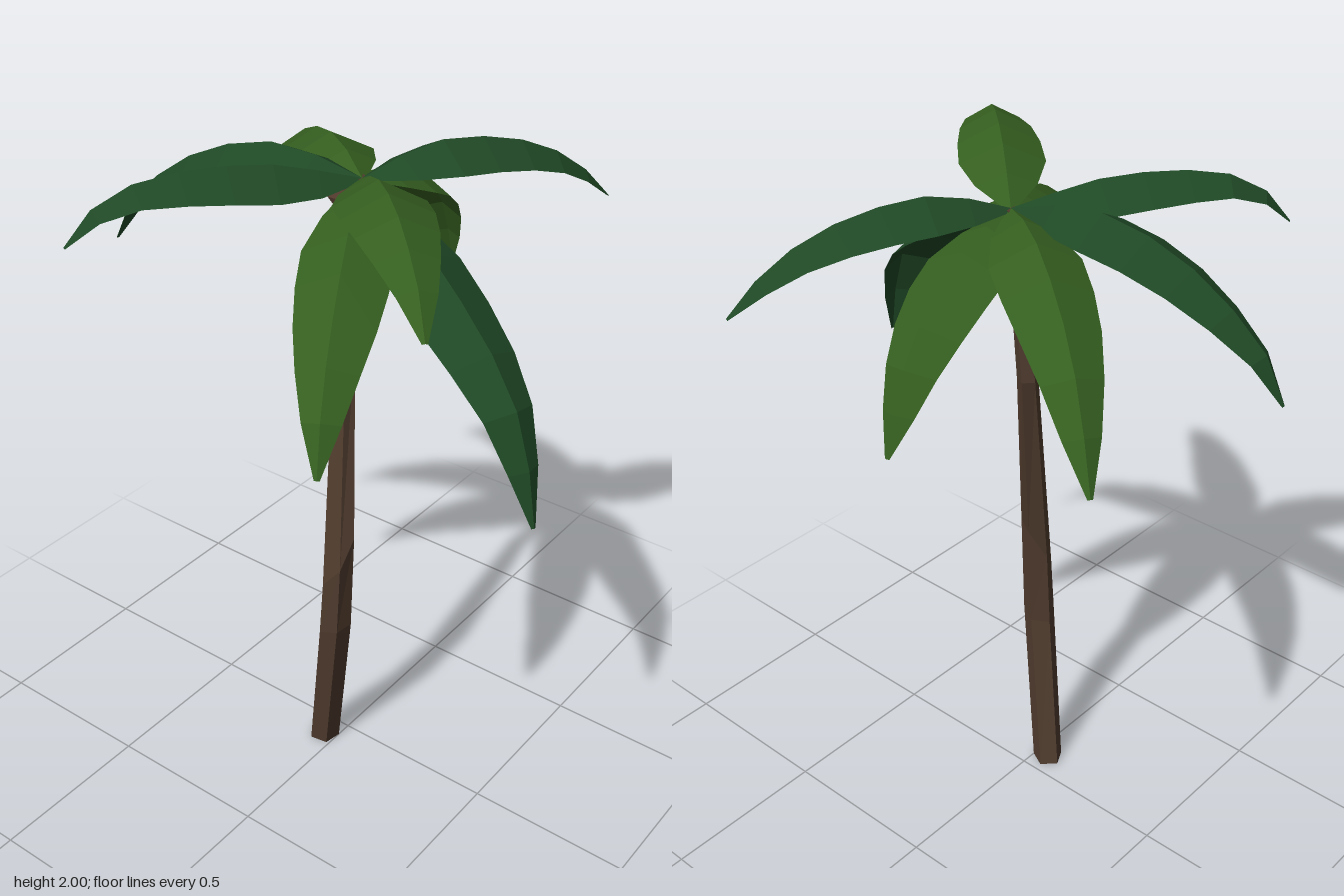
import * as THREE from 'three';

const mat = (name, color, side = THREE.FrontSide) => {
  const m = new THREE.MeshStandardMaterial({ color, flatShading: true, side });
  m.name = name;
  return m;
};

// Bent five-sided trunk: rings of [x, y, z, radius, slope along x, slope along z]
function trunkGeometry() {
  const rings = [
    [-0.07, 0, -0.042, 0.047, 0, 0],
    [-0.125, 0.52, 0.045, 0.049, 0, 0.3],
    [-0.128, 0.78, 0.06, 0.048, 1.4, 1.0],
    [-0.002, 1.42, -0.012, 0.031, 0, 0],
    [0.002, 1.9, 0.035, 0.022, 0, 0],
  ];
  const geo = new THREE.CylinderGeometry(1, 1, 1, 5, rings.length - 1, false, -Math.PI / 4);
  const p = geo.attributes.position;
  for (let i = 0; i < p.count; i++) {
    const [x, y, z, r, sx, sz] = rings[Math.round((p.getY(i) + 0.5) * (rings.length - 1))];
    const dx = p.getX(i) * r, dz = p.getZ(i) * r;
    p.setXYZ(i, x + dx, y + dx * sx + dz * sz, z + dz);
  }
  geo.computeVertexNormals();
  return geo;
}

// Frond: a folded blade, its ridge arching from the crown to the tip.
// profile holds [fraction of reach, height] for the ridge.
const CROWN = new THREE.Vector3(0, 1.9, 0.045);
// Half-width at equal steps along the ridge
const WIDTHS = [0.012, 0.083, 0.118, 0.114, 0.1, 0.077, 0.048, 0.007];
function frondGeometry(tipX, tipZ, profile) {
  const points = profile.map(([f, y]) => new THREE.Vector3(
    CROWN.x + (tipX - CROWN.x) * f, y, CROWN.z + (tipZ - CROWN.z) * f));
  const ridge = new THREE.CatmullRomCurve3([CROWN, ...points]).getSpacedPoints(WIDTHS.length - 1);
  const side = new THREE.Vector3(-(tipZ - CROWN.z), 0, tipX - CROWN.x).normalize();
  const pos = [], index = [];
  ridge.forEach((c, i) => {
    const a = ridge[Math.max(i - 1, 0)], b = ridge[Math.min(i + 1, ridge.length - 1)];
    const tangent = b.clone().sub(a).normalize();
    const normal = side.clone().cross(tangent).normalize();
    for (const s of [-1, 0, 1]) {
      const v = c.clone().addScaledVector(side, s * WIDTHS[i])
        .addScaledVector(normal, -0.5 * Math.abs(s) * WIDTHS[i]);
      pos.push(v.x, v.y, v.z);
    }
    if (i === 0) return;
    for (const k of [0, 1]) {
      const q = (i - 1) * 3 + k;
      index.push(q, q + 1, q + 3, q + 1, q + 4, q + 3);
    }
  });
  const geo = new THREE.BufferGeometry();
  geo.setAttribute('position', new THREE.Float32BufferAttribute(pos, 3));
  geo.setIndex(index);
  geo.computeVertexNormals();
  return geo;
}

export function createModel() {
  const model = new THREE.Group();
  model.name = 'palmTree';
  const bark = mat('bark brown', 0x4f3b2d);
  const nut = mat('coconut brown', 0x553c30);
  const dark = mat('dark leaf green', 0x1f4825, THREE.DoubleSide);
  const light = mat('light leaf green', 0x355f20, THREE.DoubleSide);
  const add = (name, geo, material, parent = model) => {
    const mesh = new THREE.Mesh(geo, material);
    mesh.name = name;
    parent.add(mesh);
    return mesh;
  };

  add('trunk', trunkGeometry(), bark);

  // Crown of fronds: tip x, tip z, colour, ridge profile
  const fronds = new THREE.Group();
  fronds.name = 'fronds';
  model.add(fronds);
  [
    [-0.12, -0.745, dark, [[0.3, 1.95], [0.65, 1.865], [0.94, 1.67], [1, 1.56]]],
    [0.47, -0.61, light, [[0.25, 1.93], [0.53, 1.885], [0.78, 1.78], [0.96, 1.59], [1, 1.52]]],
    [0.565, -0.04, light, [[0.3, 1.88], [0.6, 1.8], [0.83, 1.67], [0.97, 1.5], [1, 1.44]]],
    [0.67, 0.4, dark, [[0.28, 1.965], [0.68, 1.91], [0.92, 1.79], [1, 1.72]]],
    [-0.225, 0.745, dark, [[0.3, 1.83], [0.53, 1.74], [0.85, 1.55], [0.97, 1.35], [1, 1.235]]],
    [-0.535, 0.615, light, [[0.27, 1.985], [0.6, 1.998], [0.91, 1.92], [1, 1.84]]],
    [-0.67, 0.42, light, [[0.26, 1.875], [0.55, 1.8], [0.81, 1.69], [0.95, 1.57], [1, 1.48]]],
    [-0.608, -0.42, dark, [[0.35, 1.965], [0.77, 1.945], [0.95, 1.86], [1, 1.8]]],
  ].forEach(([x, z, material, profile], i) =>
    add('frond' + (i + 1), frondGeometry(x, z, profile), material, fronds));

  // Coconuts tucked under the crown
  [[0.055, 1.82, -0.01], [-0.01, 1.845, -0.01], [0, 1.83, 0.075]].forEach((c, i) =>
    add('coconut' + (i + 1), new THREE.IcosahedronGeometry(0.042, 0), nut).position.set(...c));

  return model;
}
